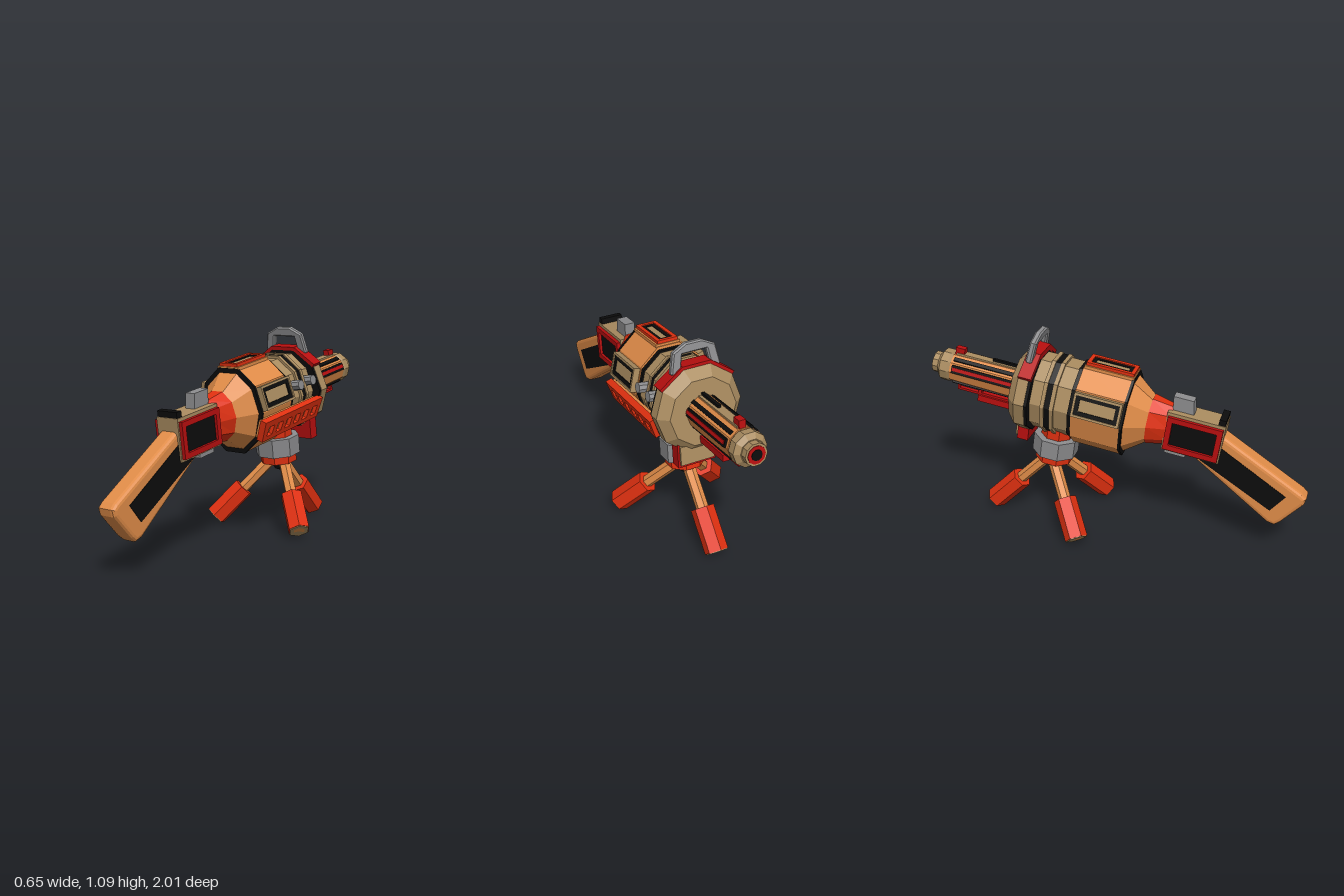
import * as THREE from 'three';

const ORANGE = 0xe08c48, TAN = 0xaa8c60, RED = 0xe03010, DARKRED = 0xb80f0f, BLACK = 0x0c0c0c, GREY = 0x8c8c8e;
const mats = {};
const mat = (c) => (mats[c] ??= new THREE.MeshStandardMaterial({ color: c, flatShading: true }));

function add(parent, name, geo, color) {
  const m = new THREE.Mesh(geo, mat(color));
  m.name = name;
  parent.add(m);
  return m;
}

function box(parent, name, color, size, pos, rz = 0) {
  const m = add(parent, name, new THREE.BoxGeometry(...size), color);
  m.position.set(...pos);
  m.rotation.z = rz;
  return m;
}

// Ten-sided frustum along z with a flat top, from z0 (rear) to z1 (front)
function ring(parent, name, color, z0, r0, z1, r1, sx = 1, open = false) {
  const g = new THREE.CylinderGeometry(r0, r1, z0 - z1, 10, 1, open);
  g.rotateY(Math.PI / 2).rotateX(Math.PI / 2).scale(sx, 1, 1).translate(0, 0, (z0 + z1) / 2);
  return add(parent, name, g, color);
}

function polygon(points) {
  return new THREE.Shape(points.map(([x, y]) => new THREE.Vector2(x, y)));
}

// Side profile given as (z, y), extruded across x and centred
function sideProfile(parent, name, color, points, width, bevel = 0) {
  const g = new THREE.ExtrudeGeometry(polygon(points), {
    depth: width - 2 * bevel, bevelEnabled: bevel > 0, bevelSize: bevel, bevelOffset: -bevel,
    bevelThickness: bevel, bevelSegments: 3,
  });
  g.translate(0, 0, -width / 2 + bevel).rotateY(-Math.PI / 2);
  return add(parent, name, g, color);
}

// Rectangular frame facing +x around a recessed panel
function frame(parent, name, color, length, height, border, depth) {
  const rect = (l, h) => [[-l / 2, -h / 2], [l / 2, -h / 2], [l / 2, h / 2], [-l / 2, h / 2]];
  const s = polygon(rect(length, height));
  s.holes.push(polygon(rect(length - 2 * border, height - 2 * border)));
  const g = new THREE.ExtrudeGeometry(s, { depth, bevelEnabled: false });
  g.rotateY(Math.PI / 2);
  return add(parent, name, g, color);
}

// Cylinder between two points
function rod(parent, name, color, a, b, r, sides) {
  const d = b.clone().sub(a);
  const m = add(parent, name, new THREE.CylinderGeometry(r, r, d.length(), sides), color);
  m.position.copy(a).add(b).multiplyScalar(0.5);
  m.quaternion.setFromUnitVectors(new THREE.Vector3(0, 1, 0), d.normalize());
  return m;
}

function buildBody(gun) {
  ring(gun, 'mainBody', ORANGE, 0.07, 0.23, -0.19, 0.23, 0.83);
  ring(gun, 'rearRim', BLACK, 0.078, 0.234, 0.065, 0.234, 0.83);
  ring(gun, 'rearCone', ORANGE, 0.18, 0.13, 0.078, 0.208, 0.83);
  const collar = ring(gun, 'rearCollar', RED, 0.29, 0.115, 0.18, 0.135, 0.8);
  const p = collar.geometry.attributes.position;
  for (let i = 0; i < p.count; i++) if (p.getZ(i) > 0.25) p.setX(i, p.getX(i) * 0.75);
  ring(gun, 'bandBlack', BLACK, -0.19, 0.215, -0.21, 0.215, 0.87);
  ring(gun, 'midBody', TAN, -0.21, 0.205, -0.44, 0.205, 0.87);
  for (const z of [-0.285, -0.335]) ring(gun, 'midRib', TAN, z, 0.22, z - 0.02, 0.22, 0.87);
  ring(gun, 'midRibGap', BLACK, -0.305, 0.214, -0.335, 0.214, 0.87);
  ring(gun, 'frontBand', BLACK, -0.415, 0.222, -0.43, 0.222);
  ring(gun, 'frontPlate', TAN, -0.43, 0.225, -0.485, 0.225);
  ring(gun, 'frontChamfer', TAN, -0.485, 0.225, -0.53, 0.175);

  // Red arch over the top of the front plate, and the block below it
  for (const k of [-1, 0, 1]) {
    const a = k * Math.PI / 5;
    box(gun, 'topArch', DARKRED, [0.148, 0.03, 0.07], [-Math.sin(a) * 0.215, Math.cos(a) * 0.215, -0.45], a);
  }
  box(gun, 'lowerBlock', DARKRED, [0.2, 0.17, 0.06], [0.03, -0.2, -0.465]);
  box(gun, 'lowerBlockFace', TAN, [0.18, 0.1, 0.02], [0.03, -0.22, -0.497]);

  // Side windows
  for (const s of [1, -1]) {
    const w = new THREE.Group();
    w.name = 'sideWindow';
    w.position.set(s * 0.174, 0.068, -0.06);
    w.rotation.z = s > 0 ? 0.26 : Math.PI - 0.26;
    gun.add(w);
    box(w, 'windowPanel', TAN, [0.03, 0.115, 0.24], [0.005, 0, 0]);
    frame(w, 'windowFrame', TAN, 0.25, 0.125, 0.012, 0.032);
    frame(w, 'windowBorder', BLACK, 0.226, 0.101, 0.02, 0.026);
  }

  // Raised window on top
  box(gun, 'topPanel', ORANGE, [0.13, 0.03, 0.26], [0, 0.215, -0.055]);
  const top = new THREE.Group();
  top.name = 'topWindow';
  top.position.set(0, 0.226, -0.055);
  top.rotation.z = Math.PI / 2;
  gun.add(top);
  frame(top, 'topWindowFrame', RED, 0.25, 0.11, 0.02, 0.02);
  frame(top, 'topWindowBorder', BLACK, 0.21, 0.07, 0.018, 0.014);
  box(top, 'topWindowInset', TAN, [0.01, 0.034, 0.174], [0.005, 0, 0]);

  // Slotted rail along the left flank
  const railShape = polygon([[-0.26, -0.055], [0.25, -0.055], [0.27, 0.055], [-0.26, 0.055]]);
  for (let i = 0; i < 6; i++) {
    const x = -0.2 + i * 0.08;
    railShape.holes.push(polygon([[x - 0.028, -0.03], [x + 0.018, -0.03], [x + 0.028, 0.02], [x - 0.018, 0.02]]));
  }
  const railGeo = new THREE.ExtrudeGeometry(railShape, { depth: 0.035, bevelEnabled: false });
  railGeo.rotateY(Math.PI / 2);
  const rail = new THREE.Group();
  rail.name = 'slottedRail';
  rail.position.set(0.182, -0.078, -0.155);
  rail.rotation.z = -0.33;
  gun.add(rail);
  add(rail, 'railFrame', railGeo, RED);
  box(rail, 'railBacking', ORANGE, [0.03, 0.095, 0.5], [0, 0, 0]);

  // Knobs
  for (const z of [-0.26, -0.374])
    rod(gun, 'knob', GREY, new THREE.Vector3(0.13, 0.058, z), new THREE.Vector3(0.212, 0.07, z), 0.027, 8);

  // Carry handle
  const half = [[0.085, 0.16], [0.13, 0.2], [0.11, 0.3], [0.042, 0.335]];
  const inner = [[0.066, 0.16], [0.076, 0.215], [0.063, 0.285]];
  const mirror = (pts) => pts.map(([x, y]) => [-x, y]).reverse();
  const handleShape = polygon([...half, ...mirror(half), ...mirror(inner).reverse(), ...inner.slice().reverse()]);
  const handle = add(gun, 'carryHandle', new THREE.ExtrudeGeometry(handleShape, {
    depth: 0.018, bevelSize: 0.007, bevelOffset: -0.007, bevelThickness: 0.008, bevelSegments: 1,
  }), GREY);
  handle.position.set(0, 0, -0.485);
  handle.rotation.x = 0.08;
}

function buildBarrel(gun) {
  ring(gun, 'barrel', ORANGE, -0.5, 0.088, -0.9, 0.082);
  // Slats and grooves around the barrel
  box(gun, 'topSlat', TAN, [0.045, 0.014, 0.37], [0, 0.082, -0.7]);
  box(gun, 'bottomSlat', TAN, [0.045, 0.014, 0.37], [0, -0.08, -0.7]);
  box(gun, 'topStrip', BLACK, [0.016, 0.02, 0.18], [0, 0.092, -0.6]);
  for (const s of [1, -1]) {
    box(gun, 'sideGroove', BLACK, [0.014, 0.042, 0.37], [s * 0.08, 0.022, -0.7], s * 0.31);
    box(gun, 'sideInlay', DARKRED, [0.014, 0.018, 0.36], [s * 0.084, 0.024, -0.7], s * 0.31);
    box(gun, 'upperGroove', BLACK, [0.02, 0.012, 0.37], [s * 0.052, 0.066, -0.7], -s * 0.63);
    box(gun, 'lowerGroove', BLACK, [0.02, 0.012, 0.37], [s * 0.052, -0.064, -0.7], s * 0.63);
  }
  // Muzzle
  ring(gun, 'muzzleBase', TAN, -0.89, 0.07, -0.915, 0.086);
  ring(gun, 'muzzleRing', TAN, -0.915, 0.086, -0.955, 0.086);
  ring(gun, 'muzzleTaper', TAN, -0.955, 0.086, -0.975, 0.06);
  ring(gun, 'muzzleTip', TAN, -0.975, 0.056, -1.008, 0.056);
  ring(gun, 'muzzleRim', DARKRED, -1.0, 0.045, -1.011, 0.045);
  ring(gun, 'bore', BLACK, -1.0, 0.027, -1.014, 0.027);
  // Sight and lower grip
  box(gun, 'frontSight', DARKRED, [0.034, 0.045, 0.05], [0, 0.095, -0.87]);
  box(gun, 'lowerBar', DARKRED, [0.05, 0.035, 0.22], [0, -0.138, -0.64]);
  box(gun, 'lowerBarCap', DARKRED, [0.036, 0.012, 0.18], [0, -0.112, -0.64]);
  box(gun, 'barPost', DARKRED, [0.025, 0.06, 0.015], [0, -0.105, -0.745]);
  box(gun, 'barLink', DARKRED, [0.025, 0.012, 0.14], [0, -0.118, -0.8]);
  box(gun, 'barPost', DARKRED, [0.025, 0.055, 0.012], [0, -0.095, -0.865]);
}

function buildReceiver(gun) {
  box(gun, 'receiver', TAN, [0.13, 0.215, 0.3], [0, -0.012, 0.42]);
  for (const s of [1, -1]) {
    const f = frame(gun, 'receiverFrame', DARKRED, 0.285, 0.185, 0.028, 0.022);
    f.position.set(s * 0.062, -0.014, 0.42);
    f.rotation.y = s > 0 ? 0 : Math.PI;
    box(gun, 'receiverInset', BLACK, [0.01, 0.13, 0.23], [s * 0.065, -0.014, 0.42]);
  }
  box(gun, 'rearBlock', BLACK, [0.12, 0.035, 0.035], [0, 0.108, 0.548]);
  sideProfile(gun, 'rearSight', GREY, [[0.29, 0.08], [0.4, 0.08], [0.385, 0.17], [0.28, 0.17]], 0.055);
  box(gun, 'receiverUnderside', GREY, [0.06, 0.04, 0.11], [0, -0.135, 0.34]);
}

function buildTripod(root) {
  const tripod = new THREE.Group();
  tripod.name = 'tripod';
  root.add(tripod);
  const mount = new THREE.Group();
  mount.name = 'mount';
  mount.position.set(0, 0.46, -0.335);
  mount.rotation.x = 0.148;
  tripod.add(mount);
  const disc = (name, color, r, h, y) =>
    add(mount, name, new THREE.CylinderGeometry(r, r, h, 8).rotateY(Math.PI / 8).translate(0, y, 0), color);
  disc('mountTop', RED, 0.085, 0.1, 0.07);
  disc('mountCollar', GREY, 0.122, 0.1, 0);
  disc('mountBase', RED, 0.1, 0.05, -0.07);
  const hub = add(tripod, 'hub', new THREE.IcosahedronGeometry(0.045, 1), BLACK);
  hub.position.set(0, 0.355, -0.36);

  const legs = [[[0, 0.37, -0.38], [0, 0.043, -0.705]]];
  for (const s of [1, -1]) legs.push([[s * 0.04, 0.37, -0.34], [s * 0.277, 0.05, -0.14]]);
  for (const [from, to] of legs) {
    const a = new THREE.Vector3(...from), b = new THREE.Vector3(...to);
    rod(tripod, 'leg', ORANGE, a, b, 0.032, 6);
    const knee = a.clone().lerp(b, 0.5), foot = a.clone().lerp(b, 0.99);
    rod(tripod, 'legSleeve', RED, knee, foot, 0.06, 6);
    rod(tripod, 'footPad', TAN, foot, b, 0.056, 6);
  }
}

export function createModel() {
  const root = new THREE.Group();
  root.name = 'mountedBlaster';

  // Everything on the barrel axis tilts upward together
  const gun = new THREE.Group();
  gun.name = 'gun';
  gun.position.y = 0.697;
  gun.rotation.x = 0.148;
  root.add(gun);
  buildBody(gun);
  buildBarrel(gun);
  buildReceiver(gun);

  // Shoulder stock with dark side inlays
  sideProfile(root, 'stock', ORANGE,
    [[0.42, 0.5], [0.81, 0.185], [0.85, 0.172], [0.88, 0.195], [0.99, 0.315], [1.0, 0.35], [0.975, 0.375], [0.54, 0.66]],
    0.105, 0.022);
  sideProfile(root, 'stockInlay', BLACK, [[0.45, 0.5], [0.822, 0.262], [0.897, 0.353], [0.5, 0.62]], 0.11);

  buildTripod(root);
  return root;
}
